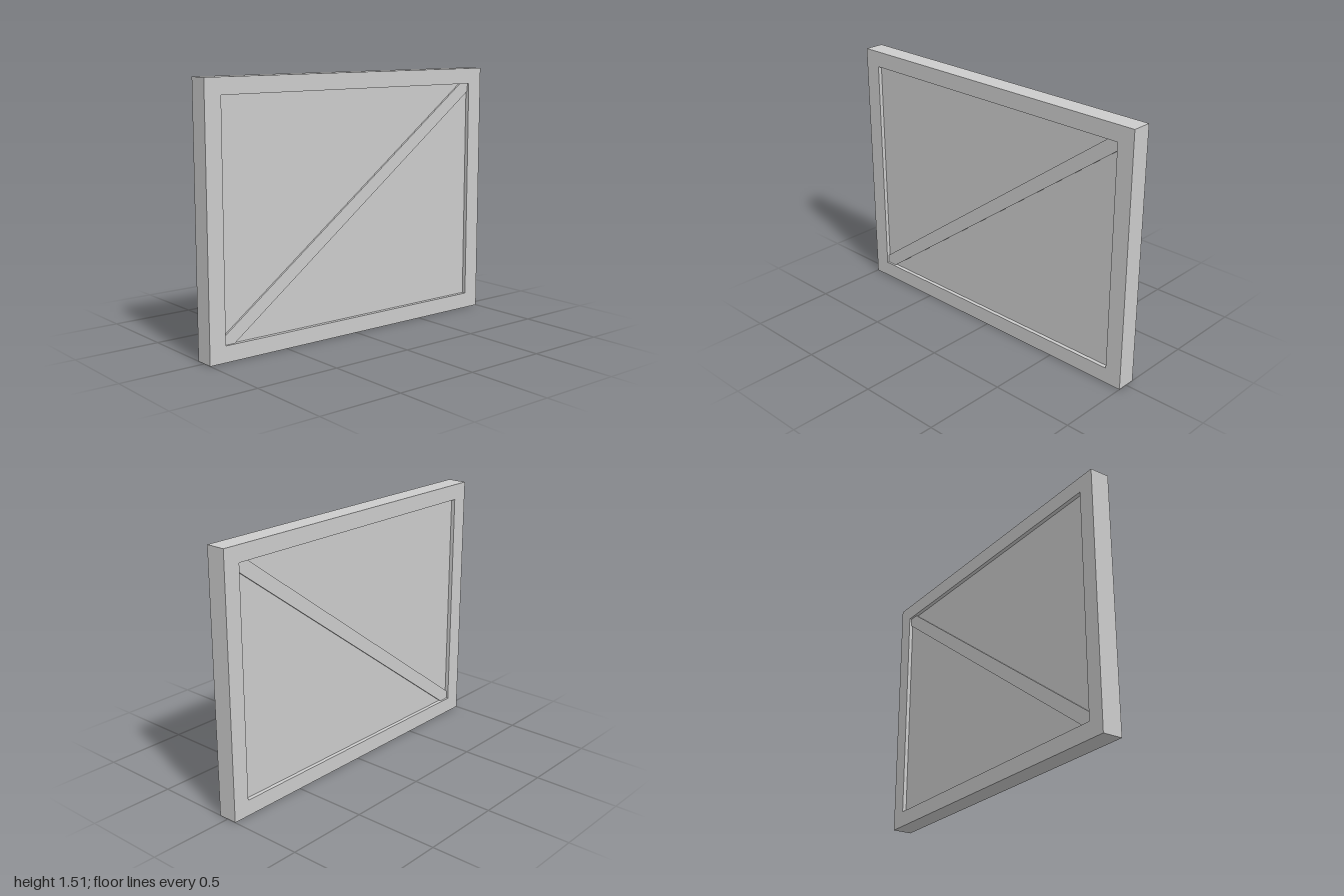
import * as THREE from 'three';

const W = 1, H = 1.515;                    // outer half width and height
const X = 0.9, BOTTOM = 0.093, TOP = 1.422; // opening
const FRAME_DEPTH = 0.117, BRACE_DEPTH = 0.092, PANEL_DEPTH = 0.07;

// Closed outline from corner points
const outline = (points, Type = THREE.Shape) =>
  new Type(points.map(([x, y]) => new THREE.Vector2(x, y)));

const rect = (x, y0, y1) => [[-x, y0], [x, y0], [x, y1], [-x, y1]];

// Plate of the given depth, centred on z = 0
function plate(name, shape, depth, material) {
  const geometry = new THREE.ExtrudeGeometry(shape, { depth, bevelEnabled: false });
  geometry.translate(0, 0, -depth / 2);
  const mesh = new THREE.Mesh(geometry, material);
  mesh.name = name;
  return mesh;
}

export function createModel() {
  const group = new THREE.Group();
  group.name = 'bracedPanel';
  const material = new THREE.MeshStandardMaterial({ color: 0xcccccc, flatShading: true });

  // Outer frame with a rectangular opening
  const frame = outline(rect(W, 0, H));
  frame.holes.push(outline(rect(X, BOTTOM, TOP).reverse(), THREE.Path));
  group.add(plate('frame', frame, FRAME_DEPTH, material));

  // Recessed infill panel
  group.add(plate('panel', outline(rect(X, BOTTOM, TOP)), PANEL_DEPTH, material));

  // Diagonal brace, its ends cut to fit the opening's corners
  const dy = 0.048, dx = dy * 2 * X / (TOP - BOTTOM);
  const brace = outline([
    [-X, BOTTOM], [-X + dx, BOTTOM], [X, TOP - dy],
    [X, TOP], [X - dx, TOP], [-X, BOTTOM + dy],
  ]);
  group.add(plate('diagonalBrace', brace, BRACE_DEPTH, material));

  return group;
}
